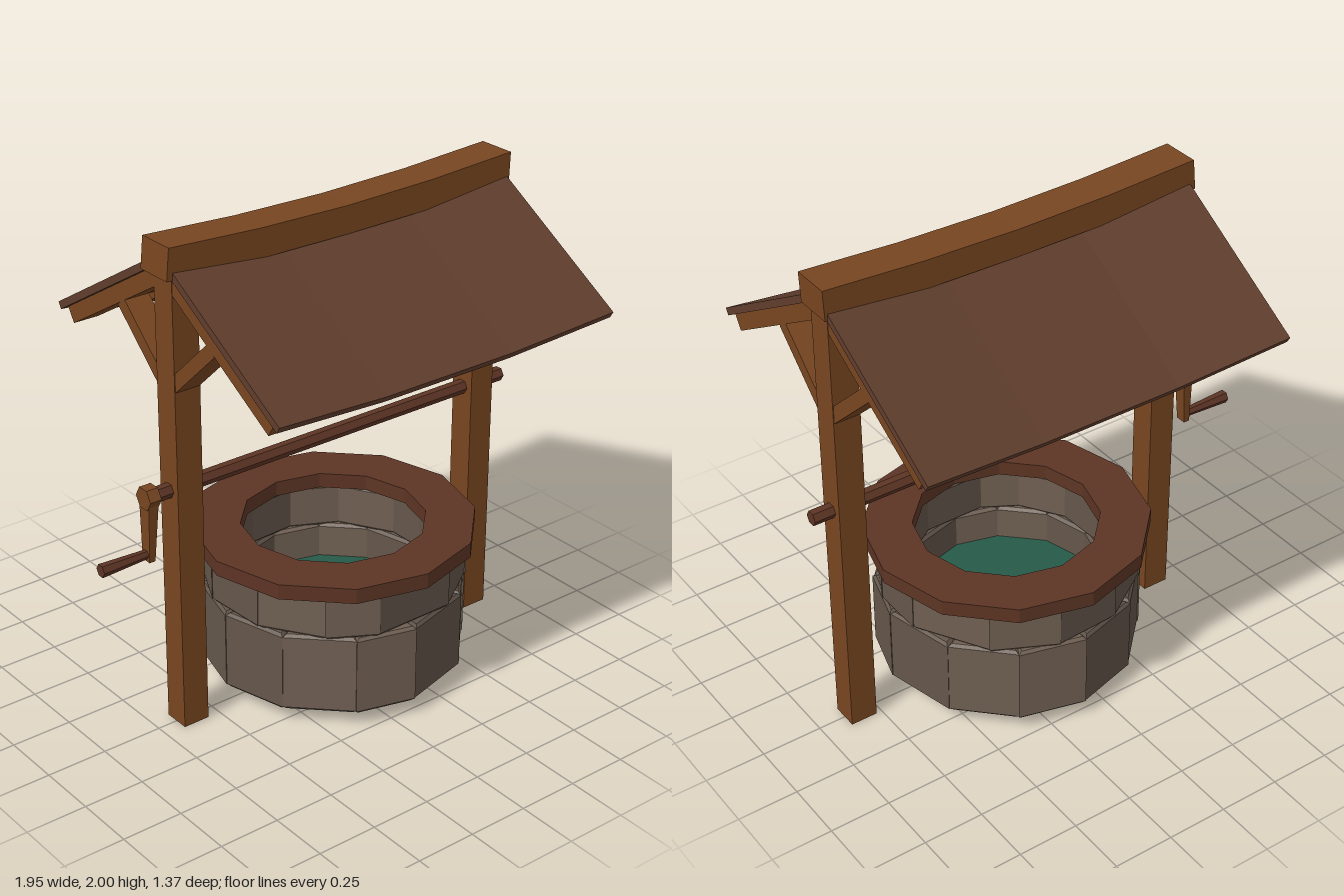
import * as THREE from 'three';

const mat = (color) => new THREE.MeshStandardMaterial({ color, flatShading: true });
const WOOD = mat(0x774520), ROOF = mat(0x5f3d2c), DARK = mat(0x5c3424);
const STONES = [0x6f5f52, 0x65574b, 0x5d5046].map(mat);
const WATER = mat(0x265a48);
WATER.side = THREE.DoubleSide;

function add(parent, name, geometry, material, x = 0, y = 0, z = 0) {
  const mesh = new THREE.Mesh(geometry, material);
  mesh.name = name;
  mesh.position.set(x, y, z);
  parent.add(mesh);
  return mesh;
}

// Solid through rectangular sections along x: [x, yMin, yMax, zMin, zMax, xSkew]
function loft(sections) {
  const pos = [], idx = [];
  for (const [x, y0, y1, z0, z1, skew = 0] of sections)
    pos.push(x + skew, y1, z0, x + skew, y1, z1, x, y0, z1, x, y0, z0);
  const last = (sections.length - 1) * 4;
  for (let i = 0; i < last; i += 4)
    for (let j = 0; j < 4; j++) {
      const k = (j + 1) % 4;
      idx.push(i + j, i + k, i + 4 + j, i + k, i + 4 + k, i + 4 + j);
    }
  idx.push(0, 2, 1, 0, 3, 2, last, last + 1, last + 2, last, last + 2, last + 3);
  const g = new THREE.BufferGeometry();
  g.setAttribute('position', new THREE.Float32BufferAttribute(pos, 3));
  g.setIndex(idx);
  const flat = g.toNonIndexed();
  flat.computeVertexNormals();
  return flat;
}

// Sagging board in roof-slope coordinates
function saggingBoard(half, y0, y1, z0, z1) {
  const sag = 0.043;
  return loft([[-half, 0], [-0.295, sag], [0.295, sag], [half, 0]]
    .map(([x, d]) => [x, y0 - d, y1 - d, z0, z1]));
}

// Bevelled wall block between two angles (degrees, from +z towards +x)
function stoneBlock(a0, a1, rIn, rOut, y0, y1) {
  const b = 0.012;
  const at = (a, r) => {
    const t = THREE.MathUtils.degToRad(a);
    return new THREE.Vector2(Math.sin(t) * r, -Math.cos(t) * r);
  };
  const shape = new THREE.Shape([at(a0, rIn), at(a0, rOut), at(a1, rOut), at(a1, rIn)]);
  const g = new THREE.ExtrudeGeometry(shape, {
    depth: y1 - y0 - 2 * b, bevelEnabled: true, bevelSegments: 1,
    bevelSize: b, bevelThickness: b, bevelOffset: -b,
  });
  g.rotateX(-Math.PI / 2);
  g.translate(0, y0 + b, 0);
  return g;
}

function buildWell() {
  const well = new THREE.Group();
  well.name = 'well';
  const courses = [
    ['lowerStone', [-29, -2, 32, 60, 87, 120, 150, 180, 210, 240, 270, 300], 0.385, 0.535, 0.06, 0.397],
    ['upperStone', [-42, -19, 20, 48, 78, 102, 138, 168, 198, 228, 258, 288], 0.39, 0.528, 0.393, 0.58],
  ];
  for (const [name, angles, rIn, rOut, y0, y1] of courses)
    angles.forEach((a, i) => {
      const next = i + 1 < angles.length ? angles[i + 1] : angles[0] + 360;
      const jitter = ((i * 7) % 3) * 0.003;
      add(well, name, stoneBlock(a, next, rIn, rOut - jitter, y0, y1), STONES[(i * 5 + (i >> 1)) % 3]);
    });

  // Twelve-sided wooden rim
  const ring = (r) => Array.from({ length: 12 }, (_, i) =>
    new THREE.Vector2(r * Math.cos(i * Math.PI / 6), r * Math.sin(i * Math.PI / 6)));
  const rimShape = new THREE.Shape(ring(0.57));
  rimShape.holes.push(new THREE.Path(ring(0.37)));
  const rim = new THREE.ExtrudeGeometry(rimShape, { depth: 0.063, bevelEnabled: false });
  rim.rotateX(-Math.PI / 2);
  add(well, 'rim', rim, DARK, 0, 0.577, 0);

  const water = new THREE.CircleGeometry(0.4, 12);
  water.rotateX(-Math.PI / 2);
  add(well, 'water', water, WATER, 0, 0.25, 0);
  return well;
}

function buildRoofSide() {
  const side = new THREE.Group();
  side.name = 'roofSide';
  const slope = new THREE.Group();
  slope.name = 'roofSlope';
  slope.position.y = 1.952;
  slope.rotation.x = THREE.MathUtils.degToRad(31);
  side.add(slope);
  add(slope, 'roofPanel', saggingBoard(0.788, -0.03, 0, 0.05, 0.8), ROOF);
  for (const z of [0.143, 0.418, 0.68])
    add(slope, 'purlin', saggingBoard(0.72, -0.078, -0.028, z - 0.037, z + 0.037), WOOD);
  for (const x of [-0.72, 0.72]) {
    add(slope, 'rafter', new THREE.BoxGeometry(0.108, 0.068, 0.74), WOOD, x, -0.063, 0.395);
    const brace = add(side, 'brace', new THREE.BoxGeometry(0.106, 0.055, 0.36), WOOD, x, 1.553, 0.148);
    brace.rotation.x = THREE.MathUtils.degToRad(-43);
  }
  return side;
}

function buildFrame() {
  const frame = new THREE.Group();
  frame.name = 'frame';
  for (const x of [-0.72, 0.72])
    add(frame, 'post', new THREE.BoxGeometry(0.112, 1.9, 0.11), WOOD, x, 0.95, 0);

  // Sagging ridge beam with slightly slanted ends
  add(frame, 'ridgeBeam', loft([
    [-0.813, 1.876, 2.0, -0.08, 0.08, 0.012],
    [-0.4, 1.862, 1.978, -0.08, 0.08],
    [0, 1.858, 1.97, -0.08, 0.08],
    [0.4, 1.862, 1.978, -0.08, 0.08],
    [0.798, 1.876, 2.0, -0.08, 0.08, 0.005],
  ]), WOOD);

  const front = buildRoofSide();
  const back = buildRoofSide();
  back.rotation.y = Math.PI;
  frame.add(front, back);
  return frame;
}

function buildWinch() {
  const winch = new THREE.Group();
  winch.name = 'winch';
  // Rod along x: r0 at the -x end, r1 at the +x end
  const rod = (r0, r1, length) => {
    const g = new THREE.CylinderGeometry(r0, r1, length, 6);
    g.rotateZ(Math.PI / 2);
    return g;
  };
  add(winch, 'axle', rod(0.03, 0.03, 1.73), DARK, 0.108, 1.015, 0);
  add(winch, 'crankHub', rod(0.047, 0.047, 0.05), WOOD, -0.757, 1.016, 0);

  // Crank arm, tapering downward
  const arm = new THREE.BoxGeometry(1, 0.28, 1);
  const p = arm.attributes.position;
  for (let i = 0; i < p.count; i++) {
    const top = p.getY(i) > 0;
    const inner = p.getX(i) > 0;
    p.setX(i, inner ? (top ? -0.733 : -0.753) : -0.779);
    p.setZ(i, p.getZ(i) * (top ? 0.065 : 0.045));
  }
  arm.computeVertexNormals();
  add(winch, 'crankArm', arm, WOOD, 0, 0.895, 0);
  add(winch, 'crankHandle', rod(0.027, 0.018, 0.215), DARK, -0.872, 0.783, 0);
  return winch;
}

export function createModel() {
  const model = new THREE.Group();
  model.name = 'wishingWell';
  const well = buildWell();
  const frame = buildFrame();
  well.position.x = frame.position.x = 0.11;
  model.add(well, frame, buildWinch());
  return model;
}
